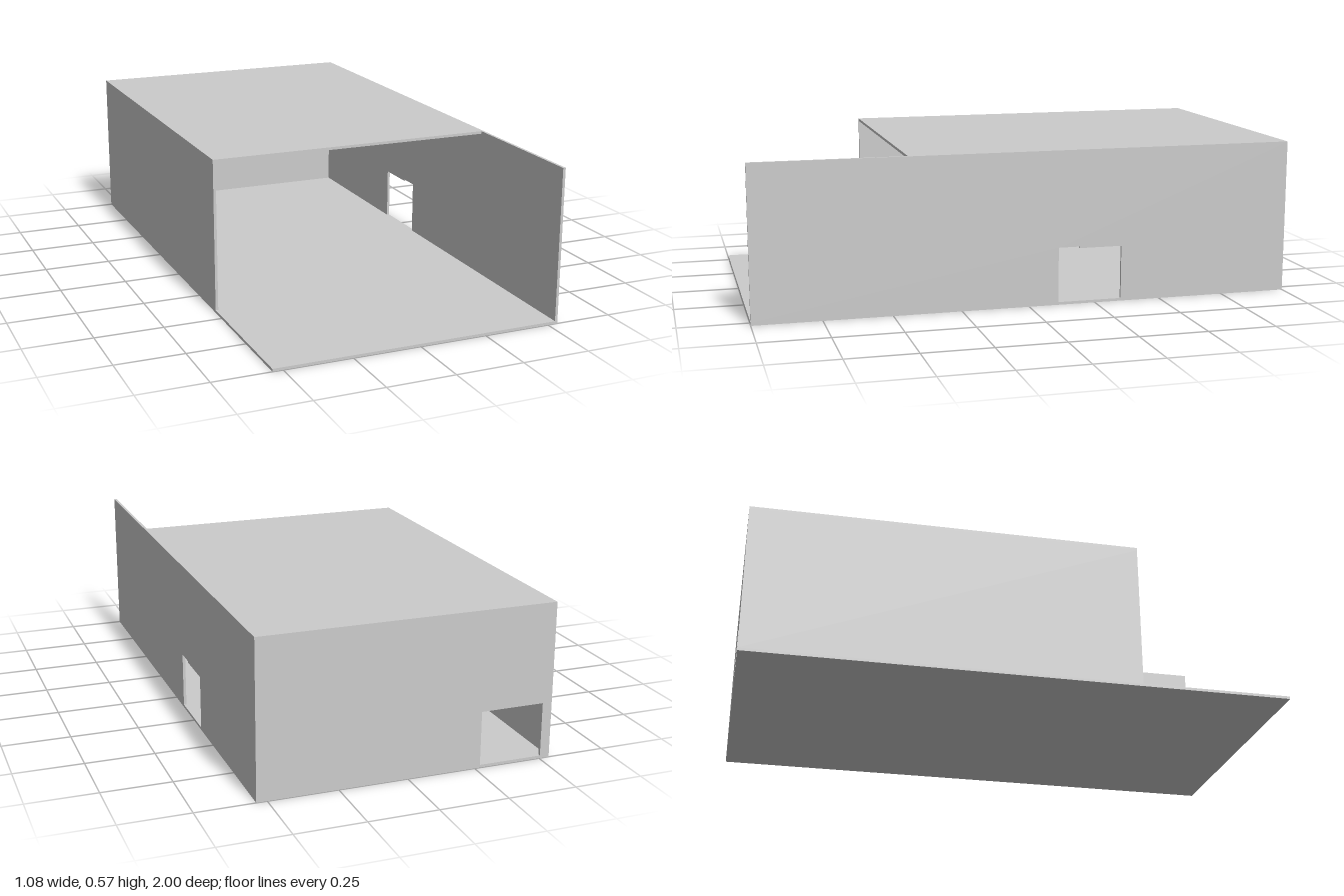
import * as THREE from 'three';

const W = 0.538, H = 0.569, T = 0.01, ROOF_END = 0.44;
const material = new THREE.MeshStandardMaterial({ color: 0xcccccc, flatShading: true });

function slab(name, x0, x1, y0, y1, z0, z1) {
  const mesh = new THREE.Mesh(new THREE.BoxGeometry(x1 - x0, y1 - y0, z1 - z0), material);
  mesh.position.set((x0 + x1) / 2, (y0 + y1) / 2, (z0 + z1) / 2);
  mesh.name = name;
  return mesh;
}

// Upright panel standing on the floor, with a doorway cut up from its bottom edge
function wallWithDoor(name, u0, u1, top, door) {
  const shape = new THREE.Shape([
    [u0, T], ...door, [u1, T], [u1, top], [u0, top],
  ].map(([u, v]) => new THREE.Vector2(u, v)));
  const mesh = new THREE.Mesh(new THREE.ExtrudeGeometry(shape, { depth: T, bevelEnabled: false }), material);
  mesh.name = name;
  return mesh;
}

export function createModel() {
  const model = new THREE.Group();
  model.name = 'openGarage';

  // Floor runs the full length; the roof and the right wall stop short of the front
  model.add(slab('floor', -W, W, 0, T, -1, 1));
  model.add(slab('roof', -W, W - T, H - T, H, -1, ROOF_END));
  model.add(slab('rightWall', -W, -W + T, T, H - T, -1, ROOF_END));

  // Full-length left wall with a side doorway
  const left = wallWithDoor('leftWall', -1, 1, H,
    [[0.11, T], [0.11, 0.213], [0.19, 0.213], [0.19, 0.207], [0.35, 0.207], [0.35, T]]);
  left.geometry.rotateY(Math.PI / 2);
  left.position.x = W - T;
  model.add(left);

  // Back wall with a corner doorway
  const back = wallWithDoor('backWall', -W + T, W - T, H - T,
    [[-0.503, T], [-0.503, 0.206], [-0.27, 0.206], [-0.27, T]]);
  back.position.z = -1;
  model.add(back);

  return model;
}
